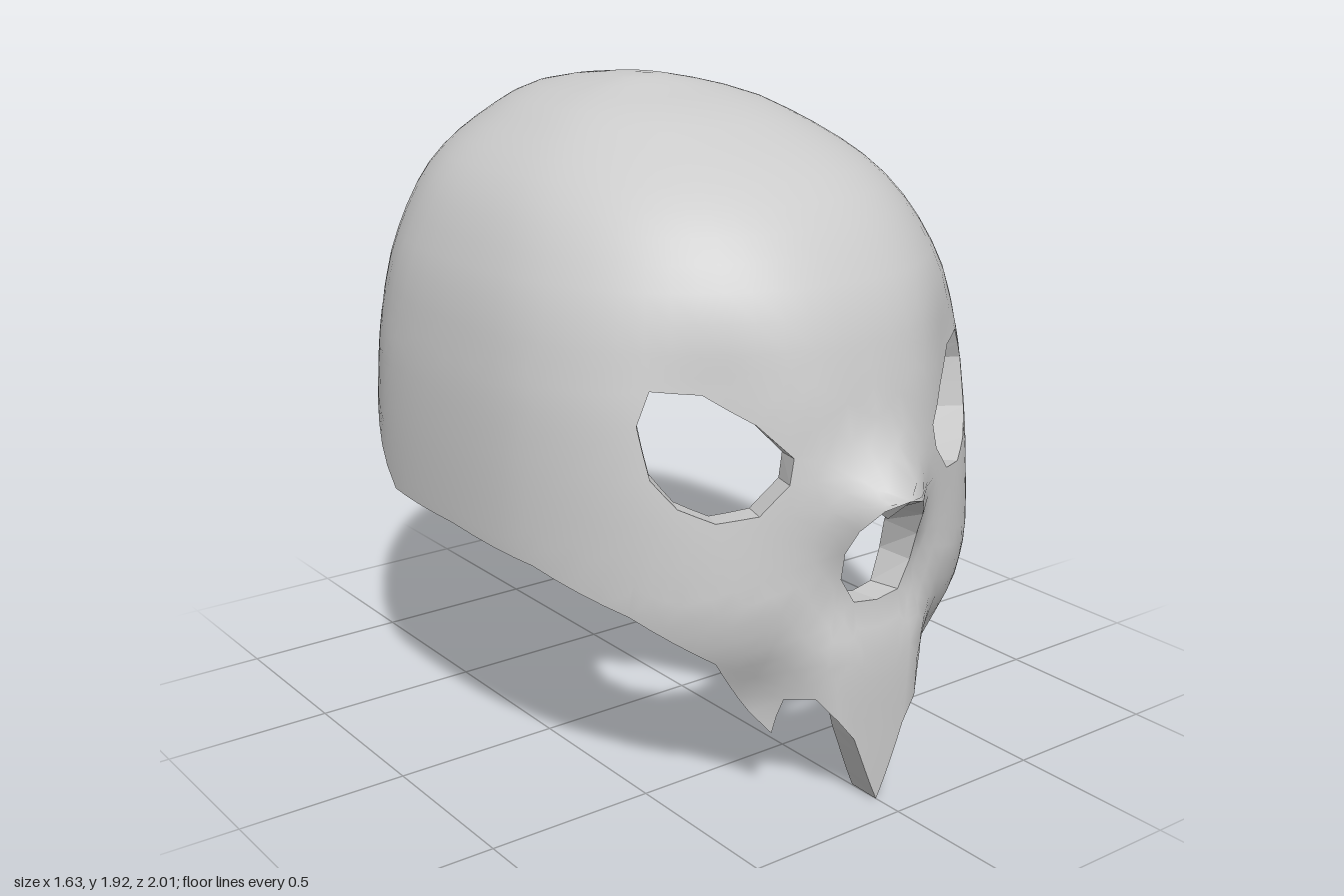
import * as THREE from 'three';

// Horizontal sections: s (path height), y, front z, back z, half width, front centre z, back centre z
const ROWS = [
  [0, 0, 0.91, -1, 0.81, 0, -0.2],
  [0.2, 0.2, 0.915, -1, 0.81, 0, -0.2],
  [0.45, 0.45, 0.915, -1, 0.81, 0, -0.2],
  [0.6, 0.6, 0.885, -1, 0.81, 0, -0.2],
  [0.75, 0.75, 0.875, -1, 0.813, 0, -0.2],
  [1.0, 1.0, 0.87, -1, 0.802, 0, -0.2],
  [1.2, 1.2, 0.845, -1, 0.778, 0, -0.2],
  [1.43, 1.43, 0.77, -0.965, 0.722, -0.03, -0.2],
  [1.72, 1.66, 0.575, -0.87, 0.595, -0.1, -0.2],
  [2.05, 1.83, 0.22, -0.69, 0.37, -0.16, -0.2],
  [2.2, 1.885, 0, -0.56, 0.22, -0.19, -0.2],
  [2.4, 1.92, -0.2, -0.2, 0, -0.2, -0.2],
  [2.6, 1.885, -0.4, 0.1, -0.22, -0.2, -0.2],
];
const POLE = 2.4, BAND = 1.3, COLS = 32, STEP = 0.1, POWER = 2.15;
const THICK = new THREE.Vector3(0.075, 0.085, 0.1);
const smooth = THREE.MathUtils.smoothstep;

// Smooth interpolation of the section table
function section(s) {
  let i = 0;
  while (i < ROWS.length - 2 && s > ROWS[i + 1][0]) i++;
  const a = ROWS[i], b = ROWS[i + 1], h = b[0] - a[0], t = (s - a[0]) / h;
  const p = ROWS[Math.max(i - 1, 0)], q = ROWS[Math.min(i + 2, ROWS.length - 1)];
  const t2 = t * t, t3 = t2 * t;
  return a.map((v, k) => {
    const ma = (b[k] - p[k]) / (b[0] - p[0]), mb = (q[k] - v) / (q[0] - a[0]);
    return (2 * t3 - 3 * t2 + 1) * v + (t3 - 2 * t2 + t) * h * ma
      + (3 * t2 - 2 * t3) * b[k] + (t3 - t2) * h * mb;
  });
}

const spow = (v, e) => Math.sign(v) * Math.abs(v) ** e;
const bell = (dx, dy) => Math.exp(-(dx * dx + dy * dy) / 2);

// Outer surface: angle f (0 front, PI back) and path height s
function surface(f, s) {
  const [, y, front, back, w, cf, cb] = section(s);
  const c = spow(Math.cos(f), 2 / POWER);
  const x = w * spow(Math.sin(f), 2 / POWER);
  const blend = smooth(Math.abs(f), 1.25, 1.9);
  let z = cf + (cb - cf) * blend + (c > 0 ? (front - cf) * c : (cb - back) * c);
  if (c > 0) {
    const ax = Math.abs(x);
    // nose bridge, flattened eye areas, and cheeks set back beside the beak
    z += 0.145 * bell(x / 0.1, (y - 0.87) / 0.095);
    z -= 0.045 * bell((ax - 0.44) / 0.12, (y - 1.13) / 0.19);
    z -= 0.15 * smooth(ax, 0.12, 0.32) * (1 - smooth(y, 0.25, 0.65)) * smooth(c, 0, 0.8);
  }
  return new THREE.Vector3(x, y, z);
}

function sample([f, s]) {
  const e = 0.015, sn = Math.min(s, POLE - 0.03);
  const df = surface(f + e, sn).sub(surface(f - e, sn));
  const ds = surface(f, sn + e).sub(surface(f, sn - e));
  const normal = df.cross(ds).normalize();
  if (s >= POLE) normal.set(0, 1, 0);
  const outer = surface(f, s);
  const inner = outer.clone().sub(normal.clone().multiply(THICK));
  // the nose opening narrows towards the inside
  if (outer.z > 0) {
    inner.x *= 1 - 0.28 * bell(outer.x / 0.09, (outer.y - 0.78) / 0.1);
    inner.y -= 0.03 * bell(outer.x / 0.08, (outer.y - 0.91) / 0.06);
  }
  return { outer, normal, inner };
}

// Surface coordinates from a front position or from an angle in degrees
const atX = ([x, y]) => [Math.asin((x / section(y)[4]) ** (POWER / 2)), y];
const atDeg = ([d, y]) => [d * Math.PI / 180, y];

const rim = [
  ...[[0, 0], [0.09, 0.21], [0.19, 0.34], [0.245, 0.33], [0.26, 0.22], [0.43, 0.46],
    [0.62, 0.6], [0.76, 0.7]].map(atX),
  ...[[86, 0.735], [101, 0.735], [117, 0.93], [137, 1.08], [150, 1.13], [180, 1.145]].map(atDeg),
];
const nose = [[0, 0.91], [0.07, 0.89], [0.115, 0.83], [0.13, 0.76], [0.125, 0.68],
  [0.08, 0.605], [0, 0.595]].map(atX);
const eye = [[0.25, 1.03], [0.33, 1.12], [0.44, 1.2], [0.55, 1.21], [0.585, 1.12],
  [0.57, 0.98], [0.52, 0.905], [0.44, 0.865], [0.34, 0.88], [0.265, 0.96]].map(atX);

const dist = (a, b) => Math.hypot(a[0] - b[0], a[1] - b[1]);
const mid = (a, b) => [(a[0] + b[0]) / 2, (a[1] + b[1]) / 2];

// Halve the longest side until every triangle is small
function refine(a, b, c, out) {
  const ab = dist(a, b), bc = dist(b, c), ca = dist(c, a), m = Math.max(ab, bc, ca);
  if (m <= STEP) out.push([a, b, c]);
  else if (m === ab) { const p = mid(a, b); refine(a, p, c, out); refine(p, b, c, out); }
  else if (m === bc) { const p = mid(b, c); refine(a, b, p, out); refine(a, p, c, out); }
  else { const p = mid(c, a); refine(a, b, p, out); refine(p, b, c, out); }
}

function refineEdge(a, b, out) {
  if (dist(a, b) <= STEP) { out.push([a, b]); return; }
  const p = mid(a, b);
  refineEdge(a, p, out);
  refineEdge(p, b, out);
}

// Triangles of one half: face band with holes, then the regular dome
function halfTriangles() {
  const tris = [];
  const toV = (p) => new THREE.Vector2(p[0], p[1]);
  const contour = [...rim, [Math.PI, BAND], [0, BAND], ...nose];
  const all = [...contour, ...eye];
  for (const [i, j, k] of THREE.ShapeUtils.triangulateShape(contour.map(toV), [eye.map(toV)])) {
    const a = all[i], b = all[j], c = all[k];
    const area = (b[0] - a[0]) * (c[1] - a[1]) - (b[1] - a[1]) * (c[0] - a[0]);
    if (area > 0) refine(a, b, c, tris); else refine(a, c, b, tris);
  }
  const rows = 14;
  const at = (i, j) => [Math.PI * i / COLS, BAND + (POLE - BAND) * j / rows];
  for (let j = 0; j < rows; j++) for (let i = 0; i < COLS; i++) {
    if (j === rows - 1) tris.push([at(i, j), at(i + 1, j), at(i, j + 1)]);
    else tris.push([at(i, j), at(i + 1, j), at(i + 1, j + 1)],
      [at(i, j), at(i + 1, j + 1), at(i, j + 1)]);
  }
  return tris;
}

// Mesh from triangles of { p, n } corners, mirrored to both sides
function mirroredMesh(name, tris, material) {
  const pos = [], nor = [];
  for (const side of [1, -1]) for (const t of tris) {
    for (const { p, n } of side > 0 ? t : [t[0], t[2], t[1]]) {
      pos.push(p.x * side, p.y, p.z);
      if (n) nor.push(n.x * side, n.y, n.z);
    }
  }
  const g = new THREE.BufferGeometry();
  g.setAttribute('position', new THREE.Float32BufferAttribute(pos, 3));
  if (nor.length) g.setAttribute('normal', new THREE.Float32BufferAttribute(nor, 3));
  else g.computeVertexNormals();
  const mesh = new THREE.Mesh(g, material);
  mesh.name = name;
  return mesh;
}

// Flat wall joining the outer and inner shell along an outline
function wall(name, points, material) {
  const edges = [], tris = [];
  for (let i = 0; i < points.length - 1; i++) refineEdge(points[i], points[i + 1], edges);
  for (const [a, b] of edges) {
    const A = sample(a), B = sample(b);
    const [ao, ai, bo, bi] = [A.outer, A.inner, B.outer, B.inner].map((p) => ({ p }));
    tris.push([ao, ai, bi], [ao, bi, bo]);
  }
  return mirroredMesh(name, tris, material);
}

export function createModel() {
  const material = new THREE.MeshStandardMaterial({ color: 0xcccccc, side: THREE.DoubleSide });
  const group = new THREE.Group();
  group.name = 'skullMask';
  const tris = halfTriangles().map((t) => t.map(sample));
  group.add(
    mirroredMesh('outerShell', tris.map((t) => t.map((v) => ({ p: v.outer, n: v.normal }))), material),
    mirroredMesh('innerShell', tris.map(([a, b, c]) =>
      [a, c, b].map((v) => ({ p: v.inner, n: v.normal.clone().negate() }))), material),
    wall('lowerRim', rim, material),
    wall('noseOpening', nose, material),
    wall('eyeSockets', [...eye, eye[0]], material),
  );
  return group;
}
